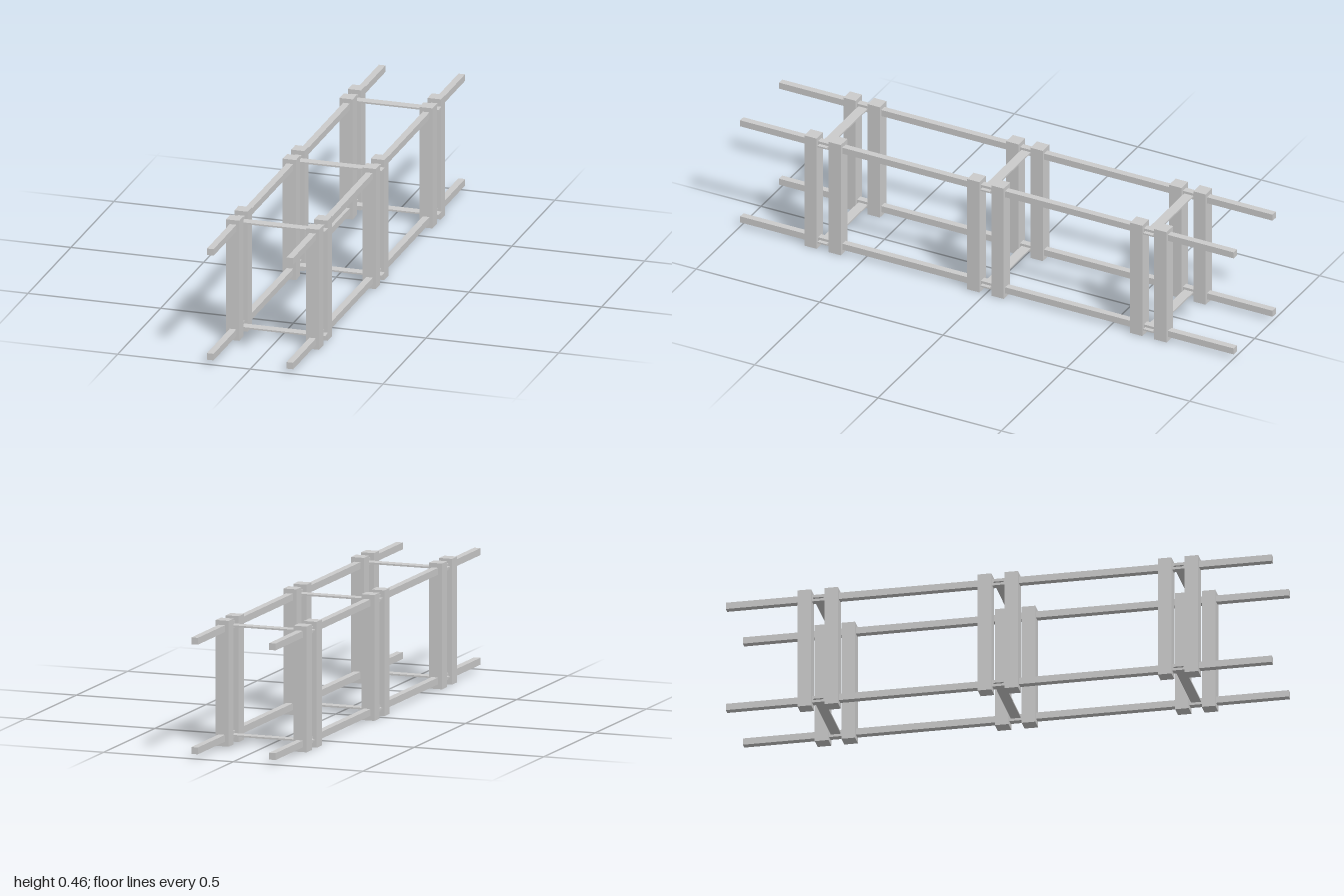
import * as THREE from 'three';

export function createModel() {
  const group = new THREE.Group();
  const material = new THREE.MeshStandardMaterial({ color: 0xcccccc, flatShading: true });

  const addBox = (name, size, position) => {
    const mesh = new THREE.Mesh(new THREE.BoxGeometry(...size), material);
    mesh.name = name;
    mesh.position.set(...position);
    group.add(mesh);
  };

  const levels = [0.03, 0.43];
  const stations = [-0.66, 0, 0.66];
  const height = 0.459;

  // Four long rails running front to back
  for (const y of levels) {
    for (const x of [-0.151, 0.149]) addBox('rail', [0.025, 0.025, 2], [x, y, 0]);
  }

  for (const z of stations) {
    // Paired posts on both sides of each station
    for (const x of [-0.153, 0.148]) {
      for (const dz of [-0.049, 0.049]) addBox('post', [0.05, height, 0.05], [x, height / 2, z + dz]);
    }
    // Thin flat cross slats passing between the posts
    for (const y of levels) addBox('crossSlat', [0.35, 0.006, 0.037], [0.002, y, z]);
  }

  return group;
}
